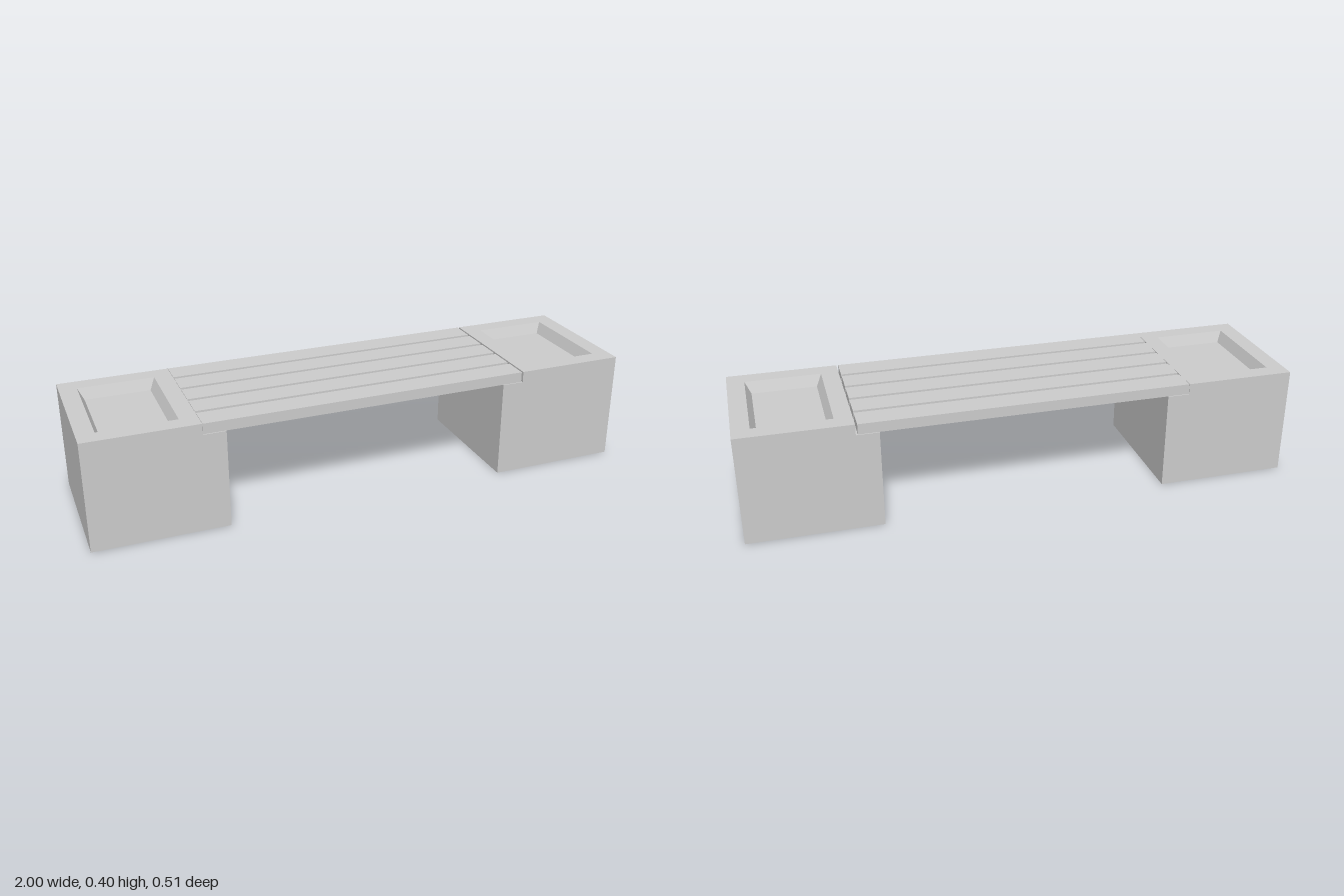
import * as THREE from 'three';

const H = 0.4;          // overall height
const SHELF = 0.36;     // seat ledge and tray floor height
const D = 0.255;        // half depth
const OUT = 1, LEDGE = 0.6, IN = 0.52;

const material = new THREE.MeshStandardMaterial({ color: 0xcccccc, side: THREE.DoubleSide, flatShading: true });

// Corners of a horizontal rectangle, counter-clockwise seen from above
const ring = (x0, x1, z, y) => [[x0, y, z], [x1, y, z], [x1, y, -z], [x0, y, -z]];

// Mesh of flat quads; side = -1 mirrors it in x and keeps the faces outward
function panels(name, quads, side) {
  const pos = [];
  for (const q of quads) {
    const [a, b, c, d] = side > 0 ? q : [...q].reverse();
    for (const p of [a, b, c, a, c, d]) pos.push(p[0] * side, p[1], p[2]);
  }
  const geometry = new THREE.BufferGeometry();
  geometry.setAttribute('position', new THREE.Float32BufferAttribute(pos, 3));
  geometry.computeVertexNormals();
  const mesh = new THREE.Mesh(geometry, material);
  mesh.name = name;
  return mesh;
}

// Quads joining two rings, facing inward when the second one is lower
const bridge = (a, b) => a.map((p, i) => {
  const j = (i + 1) % 4;
  return [p, a[j], b[j], b[i]].reverse();
});

function planter(side) {
  const group = new THREE.Group();
  group.name = side > 0 ? 'leftPlanter' : 'rightPlanter';

  // Thin walls, open underneath, stepped on the inner side to carry the seat
  const walls = [];
  const steps = [[OUT, 0], [OUT, H], [LEDGE, H], [LEDGE, SHELF], [IN, SHELF], [IN, 0]];
  for (let i = 0; i < steps.length - 1; i++) {
    if (i === 1) continue; // the rim covers the top
    const [x0, y0] = steps[i], [x1, y1] = steps[i + 1];
    walls.push([[x0, y0, D], [x0, y0, -D], [x1, y1, -D], [x1, y1, D]]);
  }
  for (const [x0, x1, y] of [[IN, LEDGE, SHELF], [LEDGE, OUT, H]]) {
    walls.push([[x0, 0, D], [x1, 0, D], [x1, y, D], [x0, y, D]]);
    walls.push([[x1, 0, -D], [x0, 0, -D], [x0, y, -D], [x1, y, -D]]);
  }
  group.add(panels('planterWalls', walls, side));

  // Flat rim and sunken tray with sloping sides
  const outer = ring(LEDGE, OUT, D, H);
  const lip = ring(0.663, 0.937, 0.192, H);
  const floor = ring(0.683, 0.917, 0.172, SHELF);
  group.add(panels('planterRim', bridge(outer, lip).map(q => q.reverse()), side));
  group.add(panels('planterTray', [...bridge(lip, floor).map(q => q.reverse()), floor], side));
  return group;
}

export function createModel() {
  const model = new THREE.Group();
  model.name = 'planterBench';
  model.add(planter(1), planter(-1));

  // Seat slats lying on the two ledges
  const seat = new THREE.Group();
  seat.name = 'seat';
  const count = 5, gap = 0.015;
  const width = (2 * D - gap * (count - 1)) / count;
  const bottom = SHELF + 0.002;
  const geometry = new THREE.BoxGeometry(1.192, H - bottom, width);
  for (let i = 0; i < count; i++) {
    const slat = new THREE.Mesh(geometry, material);
    slat.name = 'slat';
    slat.position.set(-0.003, (H + bottom) / 2, -D + width / 2 + i * (width + gap));
    seat.add(slat);
  }
  model.add(seat);
  return model;
}
